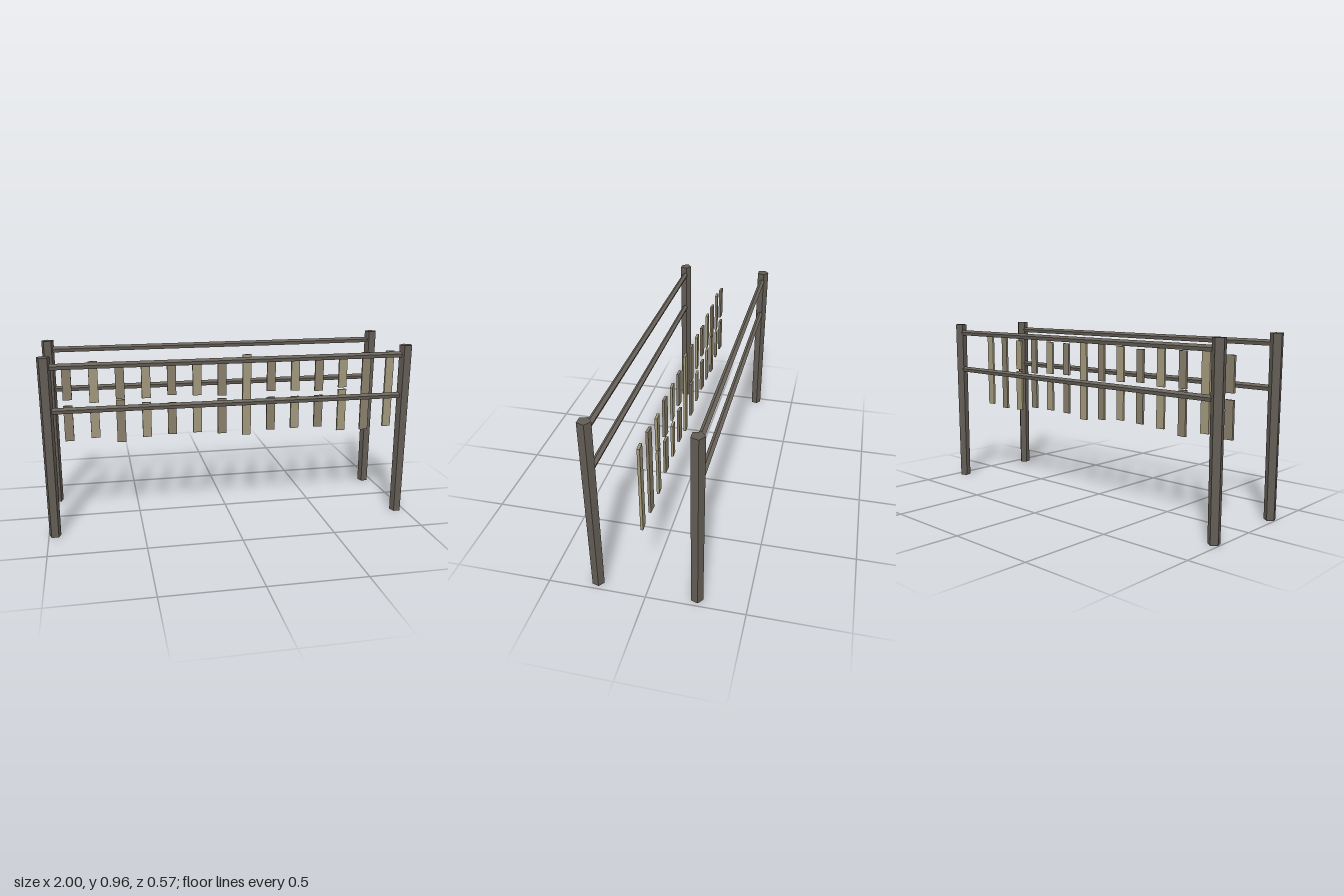
import * as THREE from 'three';

const material = (color) => new THREE.MeshStandardMaterial({ color, flatShading: true });

export function createModel() {
  const model = new THREE.Group();
  const postMat = material(0x625c54);
  const railMat = material(0x6b655c);
  const plankMats = [material(0x887e6a), material(0xa0977a)];

  const add = (name, geometry, mat, x, y, z) => {
    const mesh = new THREE.Mesh(geometry, mat);
    mesh.name = name;
    mesh.position.set(x, y, z);
    model.add(mesh);
    return mesh;
  };

  const leftX = 0.952, rightX = -0.967;
  const postHeight = 0.96;

  // Five-sided posts, slightly wider at the top, with a flat side to the front
  const postGeo = new THREE.CylinderGeometry(0.035, 0.0315, postHeight, 5).rotateY(Math.PI);

  // Five-sided rails lying along x, ridge upward
  const railGeo = new THREE.CylinderGeometry(0.017, 0.017, leftX - rightX, 5)
    .rotateZ(Math.PI / 2)
    .rotateX(-Math.PI / 2);

  for (const [side, z] of [['front', 0.257], ['back', -0.249]]) {
    add(side + 'LeftPost', postGeo, postMat, leftX, postHeight / 2, z);
    add(side + 'RightPost', postGeo, postMat, rightX, postHeight / 2, z);
    add(side + 'UpperRail', railGeo, railMat, (leftX + rightX) / 2, 0.908, z);
    add(side + 'LowerRail', railGeo, railMat, (leftX + rightX) / 2, 0.681, z);
  }

  // Two rows of hanging planks of uneven length: half heights from right to left
  const rows = [
    { name: 'upperPlank', y: 0.768,
      half: [0.093, 0.114, 0.098, 0.101, 0.09, 0.098, 0.106, 0.122, 0.093, 0.096, 0.104, 0.09, 0.109, 0.114] },
    { name: 'lowerPlank', y: 0.543,
      half: [0.099, 0.088, 0.121, 0.099, 0.091, 0.088, 0.102, 0.118, 0.096, 0.094, 0.094, 0.123, 0.126, 0.113] },
  ];
  for (const { name, y, half } of rows) {
    half.forEach((h, i) => {
      const plank = add(name, new THREE.BoxGeometry(0.049, h * 2, 0.013),
        plankMats[i % 2], -0.869 + i * 0.1418, y, 0.003);
      plank.rotation.y = i % 2 ? 0.05 : -0.05; // slight weathered twist
    });
  }

  return model;
}
